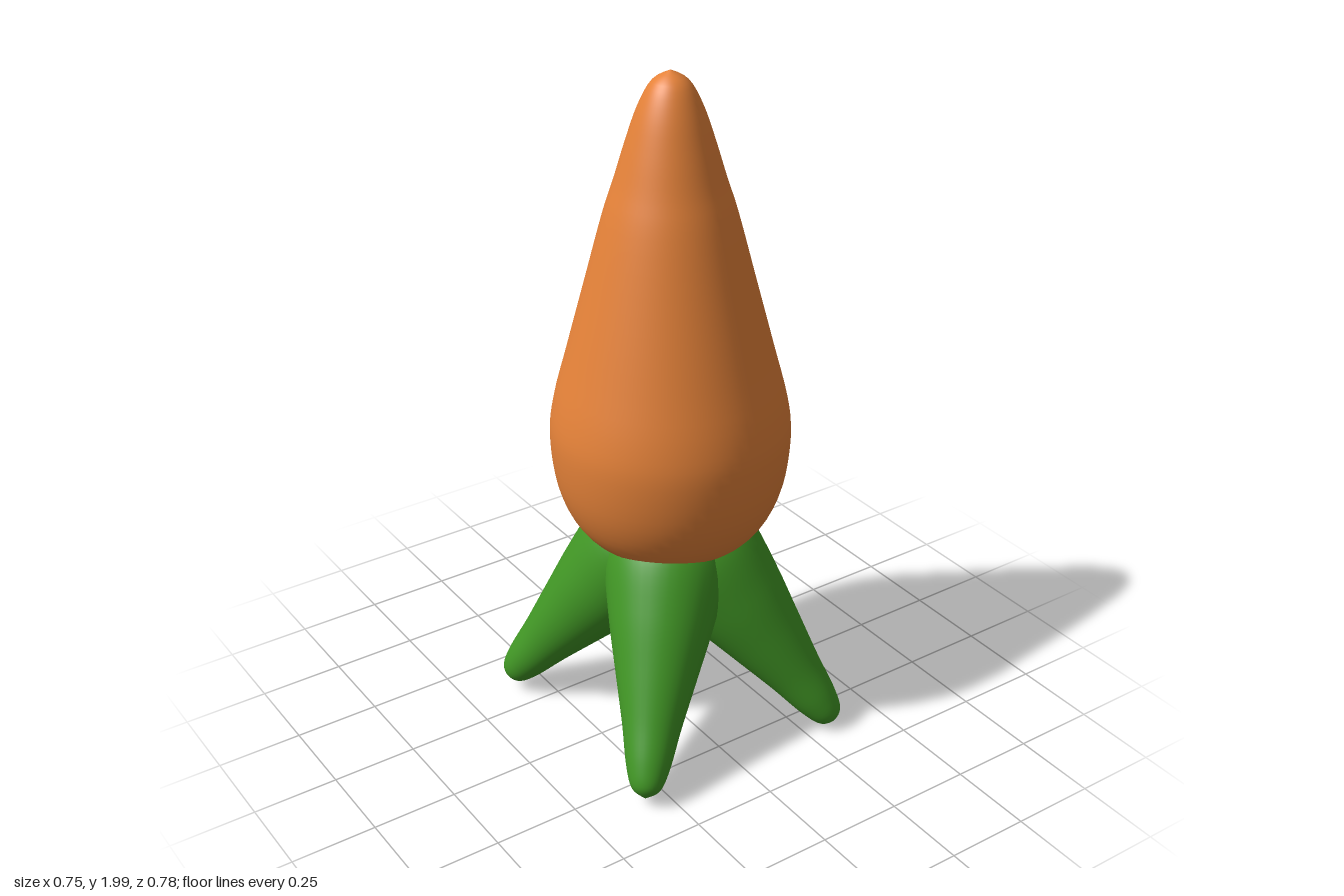
import * as THREE from 'three';

// Smooth lathe solid through a few [radius, height] points
function turned(points, segments) {
  const curve = new THREE.SplineCurve(points.map(([r, y]) => new THREE.Vector2(r, y)));
  const profile = curve.getPoints(56).map(p => new THREE.Vector2(Math.max(p.x, 0), p.y));
  return new THREE.LatheGeometry(profile, segments);
}

export function createModel() {
  const model = new THREE.Group();
  const orange = new THREE.MeshStandardMaterial({ name: 'carrot orange', color: 0xe58239 });
  const green = new THREE.MeshStandardMaterial({ name: 'leaf green', color: 0x419625 });

  // Root: upright, tapering to a rounded tip at the top
  const root = new THREE.Mesh(turned([
    [0, 0.595], [0.12, 0.6], [0.21, 0.62], [0.28, 0.69], [0.325, 0.8], [0.341, 0.94],
    [0.329, 1.05], [0.29, 1.2], [0.237, 1.4], [0.184, 1.6], [0.152, 1.7], [0.122, 1.8],
    [0.088, 1.9], [0.05, 1.97], [0, 2],
  ], 64), orange);
  root.name = 'root';
  root.position.set(0.02, 0, -0.032);
  model.add(root);

  // Leaf: teardrop of unit length along +y, thick end at the origin
  const leafGeometry = turned([
    [0, -0.06], [0.1, -0.03], [0.155, 0.05], [0.177, 0.18], [0.153, 0.375],
    [0.118, 0.57], [0.085, 0.75], [0.063, 0.89], [0.04, 0.97], [0, 1],
  ], 40);
  const crown = new THREE.Vector3(0.008, 0.68, -0.012);
  const up = new THREE.Vector3(0, 1, 0);

  function addLeaf(name, x, y, z) {
    const axis = new THREE.Vector3(x, y, z).sub(crown);
    const leaf = new THREE.Mesh(leafGeometry, green);
    leaf.name = name;
    leaf.position.copy(crown);
    leaf.scale.y = axis.length();
    leaf.quaternion.setFromUnitVectors(up, axis.normalize());
    model.add(leaf);
  }

  // Four splayed leaves and one hanging straight down
  addLeaf('frontLeftLeaf', 0.345, 0.03, 0.36);
  addLeaf('frontRightLeaf', -0.335, 0.05, 0.36);
  addLeaf('backLeftLeaf', 0.35, 0.02, -0.365);
  addLeaf('backRightLeaf', -0.352, 0.05, -0.365);
  addLeaf('middleLeaf', 0.012, 0.02, -0.025);

  return model;
}
